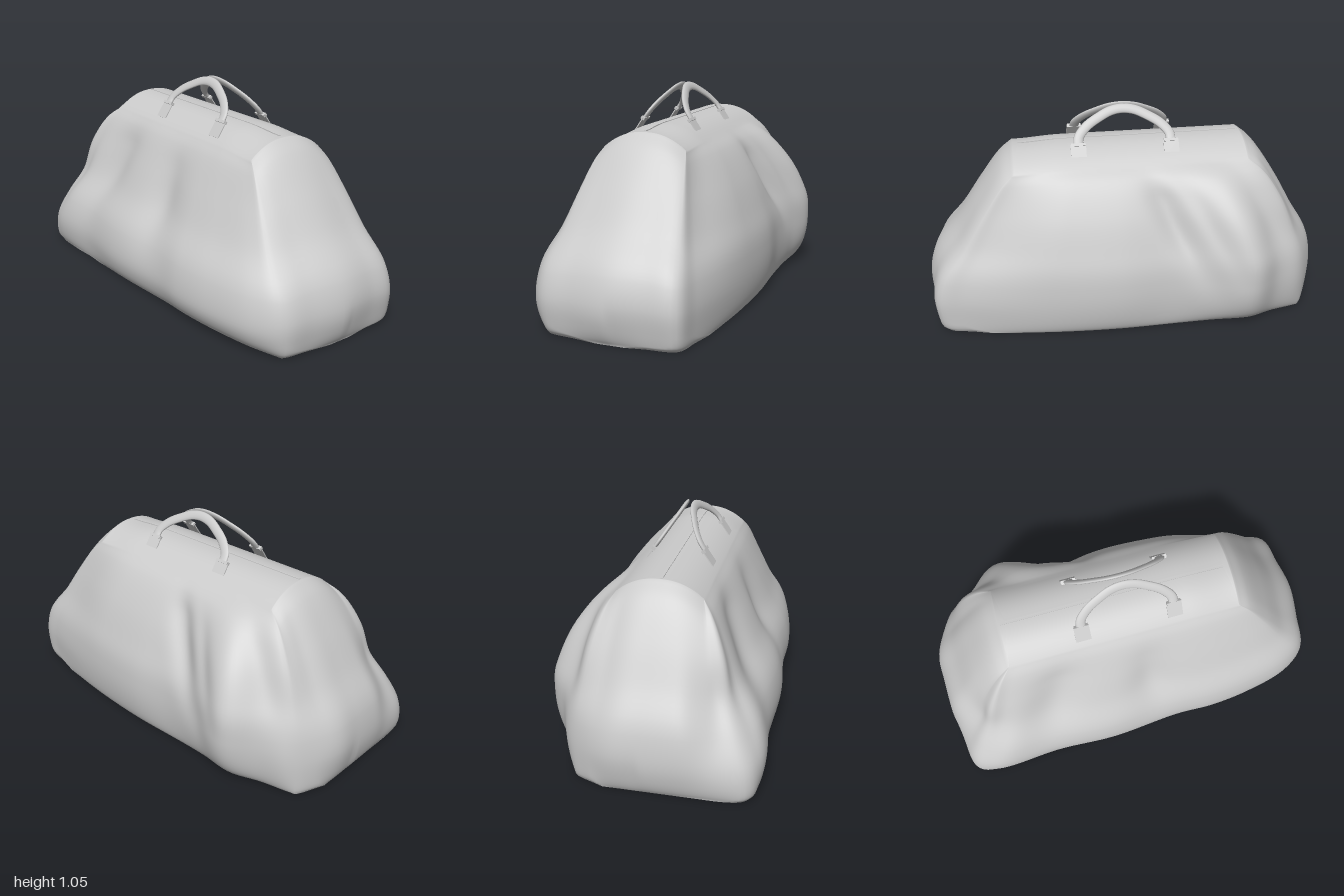
import * as THREE from 'three';

const grey = new THREE.MeshStandardMaterial({ color: 0xcccccc, side: THREE.DoubleSide });
const { clamp, smoothstep, lerp } = THREE.MathUtils;

// widest outline of the bag seen from above (x, z), running round from the back
const OUTLINE = [
  [0, -1], [0.14, -1], [0.27, -0.945], [0.37, -0.87], [0.43, -0.74], [0.52, -0.6], [0.475, -0.4],
  [0.45, -0.2], [0.465, 0.05], [0.45, 0.29], [0.41, 0.56], [0.35, 0.82], [0.31, 0.95], [0.16, 0.975],
  [0, 0.995], [-0.18, 0.97], [-0.33, 0.94], [-0.42, 0.82], [-0.48, 0.58], [-0.5, 0.37], [-0.495, 0.19],
  [-0.52, -0.19], [-0.505, -0.5], [-0.52, -0.85], [-0.47, -0.96], [-0.23, -0.99],
];

// wall profile: spread from ridge (0) to outline (1) against relative height
const PROFILE = [
  [0, 1], [0.15, 0.93], [0.4, 0.75], [0.64, 0.56], [0.92, 0.37], [1, 0.22], [0.985, 0.09], [0.955, 0.03], [0.9, 0],
];

// soft folds: side, z, height, z width, height width, slant, amount
const FOLDS = [
  [1, -0.26, 0.66, 0.085, 0.28, 0.32, -0.18], [1, -0.44, 0.65, 0.06, 0.25, 0.3, -0.06],
  [1, -0.82, 0.6, 0.1, 0.25, 0.2, -0.1],
  [-1, 0.07, 0.58, 0.13, 0.25, 0, -0.12], [-1, -0.55, 0.62, 0.16, 0.3, 0.1, -0.13],
  [-1, -0.95, 0.45, 0.16, 0.25, 0, -0.2],
];

const gauss = (d, w) => Math.exp(-(d * d) / (w * w));
const roofY = (x, z) => 0.875 - 0.075 * Math.pow(Math.abs(x) / 0.2, 2.3) - 0.012 * smoothstep(z, 0.3, 0.54);

function ridgePoint(b) {
  const x = clamp(b.x * 0.65, -0.2, 0.2);
  const z = (b.z > 0 ? 0.54 : 0.61) * clamp(b.z / 0.9, -1, 1);
  return new THREE.Vector3(x, roofY(x, z), z);
}

function wallPoint(b, f, h) {
  const r = ridgePoint(b);
  // fuller belly on the left side, pinched at the front corner, and a little on the back
  const leftBelly = smoothstep(b.x, 0.2, 0.4) * (1 - smoothstep(b.z, 0.35, 0.9)) * (0.8 + 0.4 * gauss(b.z + 0.55, 0.25));
  const belly = leftBelly + 0.25 * smoothstep(-b.z, 0.85, 0.97);
  let s = f + belly * f * (1 - f);
  for (const [side, z, y, wz, wh, slant, amount] of FOLDS) {
    const mask = smoothstep(b.x * side, 0.15, 0.4) * Math.min(1, (1 - h) * 6);
    s += mask * amount * gauss(b.z - z - slant * (h - y), wz) * gauss(h - y, wh);
  }
  s = Math.max(s, 0);
  const x = r.x + (b.x - r.x) * s;
  const z = r.z + (b.z - r.z) * s;
  // round the walls under towards a plain four-cornered base
  const limit = x > 0 ? 0.31 + 0.1 * (1 - z * z) : 0.39 + 0.05 * (1 - z * z) - 0.1 * z;
  const under = Math.max(0, 1 - h / (x > 0 ? 0.3 : 0.18));
  const tuck = 1 - Math.sqrt(1 - under * under);
  return new THREE.Vector3(
    lerp(x, clamp(x, -limit, limit), tuck), r.y * h, lerp(z, clamp(z, -0.955, 0.945), tuck));
}

// skin between closed rings of equal point count
function loft(rings) {
  const n = rings[0].length, pos = [], idx = [];
  rings.forEach((ring) => ring.forEach((p) => pos.push(p.x, p.y, p.z)));
  for (let k = 0; k < rings.length - 1; k++) {
    for (let i = 0; i < n; i++) {
      const j = (i + 1) % n, a = k * n, b = a + n;
      idx.push(a + i, a + j, b + i, a + j, b + j, b + i);
    }
  }
  const geo = new THREE.BufferGeometry();
  geo.setAttribute('position', new THREE.Float32BufferAttribute(pos, 3));
  geo.setIndex(idx);
  geo.computeVertexNormals();
  return geo;
}

function add(parent, name, geo) {
  const mesh = new THREE.Mesh(geo, grey);
  mesh.name = name;
  parent.add(mesh);
  return mesh;
}

// handle drawn flat, then leant in towards the seam
function buildHandle(side) {
  const handle = new THREE.Group();
  handle.name = side > 0 ? 'leftHandle' : 'rightHandle';
  const half = [[0.228, 0], [0.222, 0.04], [0.18, 0.092], [0.12, 0.132], [0.06, 0.162]];
  const points = [...half, [0, 0.172], ...half.slice().reverse().map(([z, y]) => [-z, y])];
  const path = new THREE.CatmullRomCurve3(points.map(([z, y]) => new THREE.Vector3(z, y, 0)));
  const grip = new THREE.TubeGeometry(path, 56, 0.024, 12);
  grip.scale(1, 1, 0.42).rotateY(Math.PI / 2);
  add(handle, 'grip', grip);
  for (const end of [1, -1]) {
    // thin leather tab and the collar that holds the grip
    add(handle, 'tab', new THREE.BoxGeometry(0.005, 0.085, 0.075)).position.set(0, -0.038, end * 0.228);
    add(handle, 'collar', new THREE.BoxGeometry(0.02, 0.014, 0.07)).position.set(0, 0.002, end * 0.228);
  }
  handle.position.set(side * 0.122 - 0.01, 0.885, -0.008);
  handle.rotation.z = side * 0.595;
  return handle;
}

export function createModel() {
  const bag = new THREE.Group();
  bag.name = 'travelBag';

  const curve = new THREE.CatmullRomCurve3(OUTLINE.map(([x, z]) => new THREE.Vector3(x, 0, z)), true);
  const outline = curve.getSpacedPoints(220).slice(0, -1);
  const profile = new THREE.CatmullRomCurve3(PROFILE.map(([f, h]) => new THREE.Vector3(f, h, 0)));

  // body: arched roof from the seam outwards, then the slumped walls
  const rings = [];
  for (let k = 0; k < 8; k++) {
    rings.push(outline.map((b) => {
      const r = ridgePoint(b), x = (r.x * k) / 8, z = r.z * (0.94 + (0.06 * k) / 8);
      return new THREE.Vector3(x, roofY(x, r.z), z);
    }));
  }
  for (let k = 0; k <= 48; k++) {
    const p = profile.getPoint(k / 48);
    rings.push(outline.map((b) => wallPoint(b, p.x, p.y)));
  }
  add(bag, 'body', loft(rings));

  // flat base
  const rim = rings[rings.length - 1];
  add(bag, 'base', loft([rim, rim.map((p) => new THREE.Vector3(0, 0, p.z * 0.5))]));

  // zip seam along the crest
  const seam = add(bag, 'seam', new THREE.BoxGeometry(0.01, 0.005, 1.11, 1, 1, 24));
  const sp = seam.geometry.attributes.position;
  for (let i = 0; i < sp.count; i++) {
    const z = sp.getZ(i) - 0.045;
    sp.setXYZ(i, sp.getX(i) - 0.01, sp.getY(i) + roofY(0, z), z);
  }
  seam.geometry.computeVertexNormals();

  // pair of handles
  for (const side of [1, -1]) bag.add(buildHandle(side));
  return bag;
}
